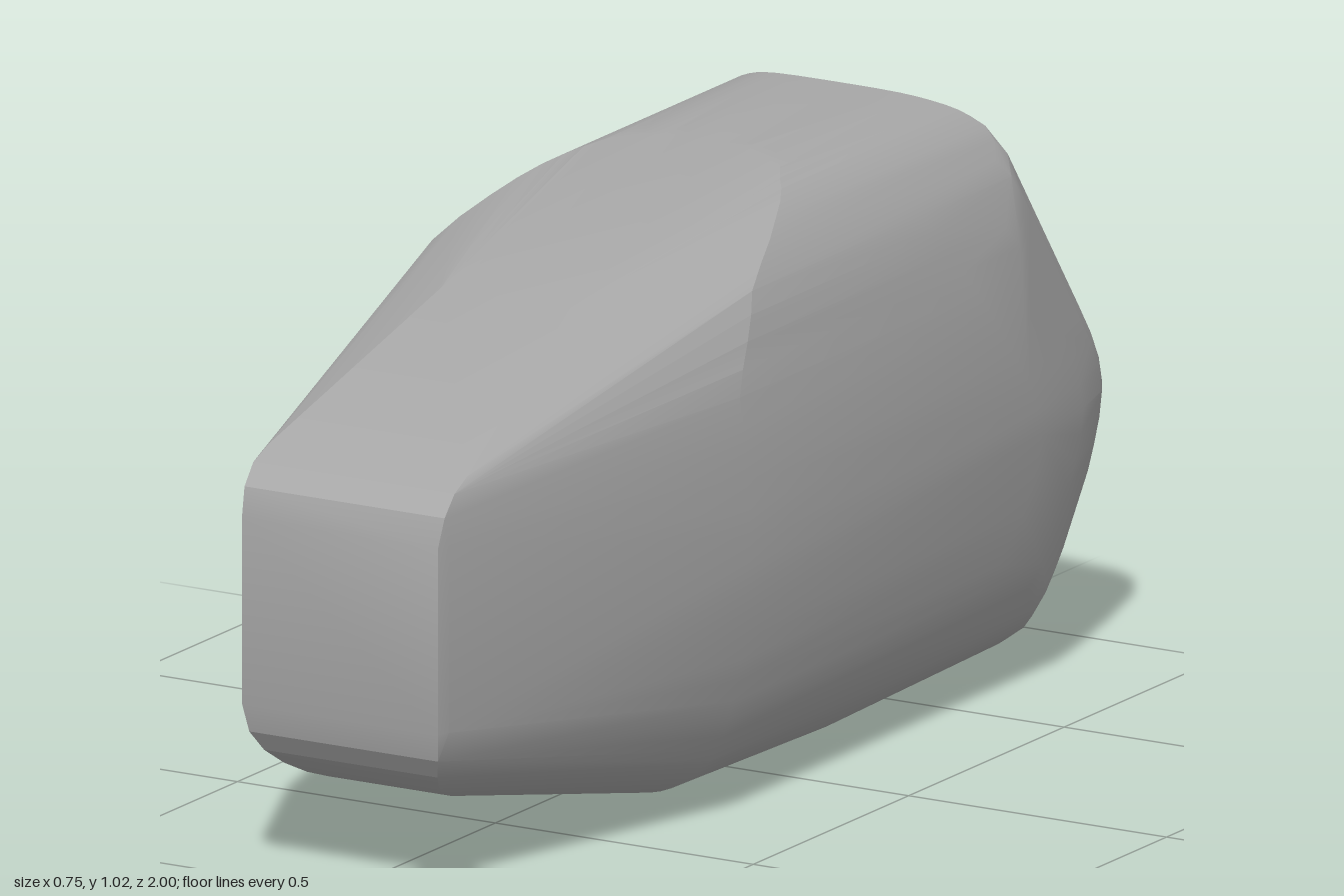
import * as THREE from 'three';
import { ConvexGeometry } from 'three/addons/geometries/ConvexGeometry.js';
import { toCreasedNormals } from 'three/addons/utils/BufferGeometryUtils.js';

// Linear lookup in a list of [key, value] pairs sorted by key
function lookup(table, key) {
  if (key <= table[0][0]) return table[0][1];
  for (let i = 1; i < table.length; i++) {
    const [k0, v0] = table[i - 1], [k1, v1] = table[i];
    if (key <= k1) return v0 + (v1 - v0) * (key - k0) / (k1 - k0);
  }
  return table[table.length - 1][1];
}

export function createModel() {
  const group = new THREE.Group();
  group.name = 'roundedWedge';
  const grey = new THREE.MeshStandardMaterial({ color: 0xa6a6a6 });
  grey.name = 'grey';

  const points = [];
  const addPair = (x, y, z) => {
    points.push(new THREE.Vector3(x, y, z), new THREE.Vector3(-x, y, z));
  };

  // Half of the barrel-shaped cross-section, from top to bottom
  const section = new THREE.SplineCurve([
    [0, 1.02], [0.12, 1.017], [0.19, 1.0], [0.25, 0.965], [0.31, 0.89], [0.345, 0.78],
    [0.366, 0.65], [0.374, 0.5], [0.368, 0.37], [0.35, 0.25], [0.32, 0.15],
    [0.28, 0.085], [0.22, 0.035], [0.15, 0.014], [0, 0.003],
  ].map(([x, y]) => new THREE.Vector2(x, y))).getPoints(42);

  // Where the full section starts at the front and ends at the rear, by height
  const frontZ = [[0.75, 0.3], [0.9, 0.18], [0.97, 0], [1.0, -0.1], [1.017, -0.18]];
  const rearZ = [[0.02, -0.65], [0.035, -0.69], [0.1, -0.77], [0.2, -0.865], [0.33, -0.955],
    [0.4, -0.988], [0.46, -1], [0.51, -0.985], [0.56, -0.955], [0.995, -0.64], [1.02, -0.6]];
  // Rounding of the rear side edges: [greatest half width, distance from the rear]
  const rounding = [[0.25, 0], [0.285, 0.02], [0.315, 0.07], [0.345, 0.18], [0.4, 0.36]];

  for (const { x, y } of section) {
    const lifted = y < 0.1 ? y + 0.018 * (1 - y / 0.1) : y; // belly rises towards its ends
    addPair(x, y, -0.2);
    addPair(x, lifted, lookup(frontZ, y));
    const rear = lookup(rearZ, lifted);
    for (const [limit, inset] of rounding) addPair(Math.min(x, limit), lifted, rear + inset);
  }

  // Break in the sloping top
  addPair(0.125, 0.9, 0.465);
  addPair(0.15, 0.885, 0.465);

  // Blunt nose with rounded upper and lower edges: [half width, y, z]
  const nose = [
    [0.193, 0.725, 0.91], [0.195, 0.705, 0.955], [0.194, 0.67, 0.985], [0.19, 0.62, 1],
    [0.19, 0.3, 1], [0.183, 0.25, 0.988], [0.168, 0.215, 0.965], [0.15, 0.187, 0.93],
    [0.13, 0.165, 0.89], [0.12, 0.147, 0.84],
  ];
  for (const [x, y, z] of nose) addPair(x, y, z);
  for (const y of [0.3, 0.62]) addPair(0.199, y, 0.98);

  const body = new THREE.Mesh(toCreasedNormals(new ConvexGeometry(points), 0.3), grey);
  body.name = 'body';
  group.add(body);
  return group;
}
